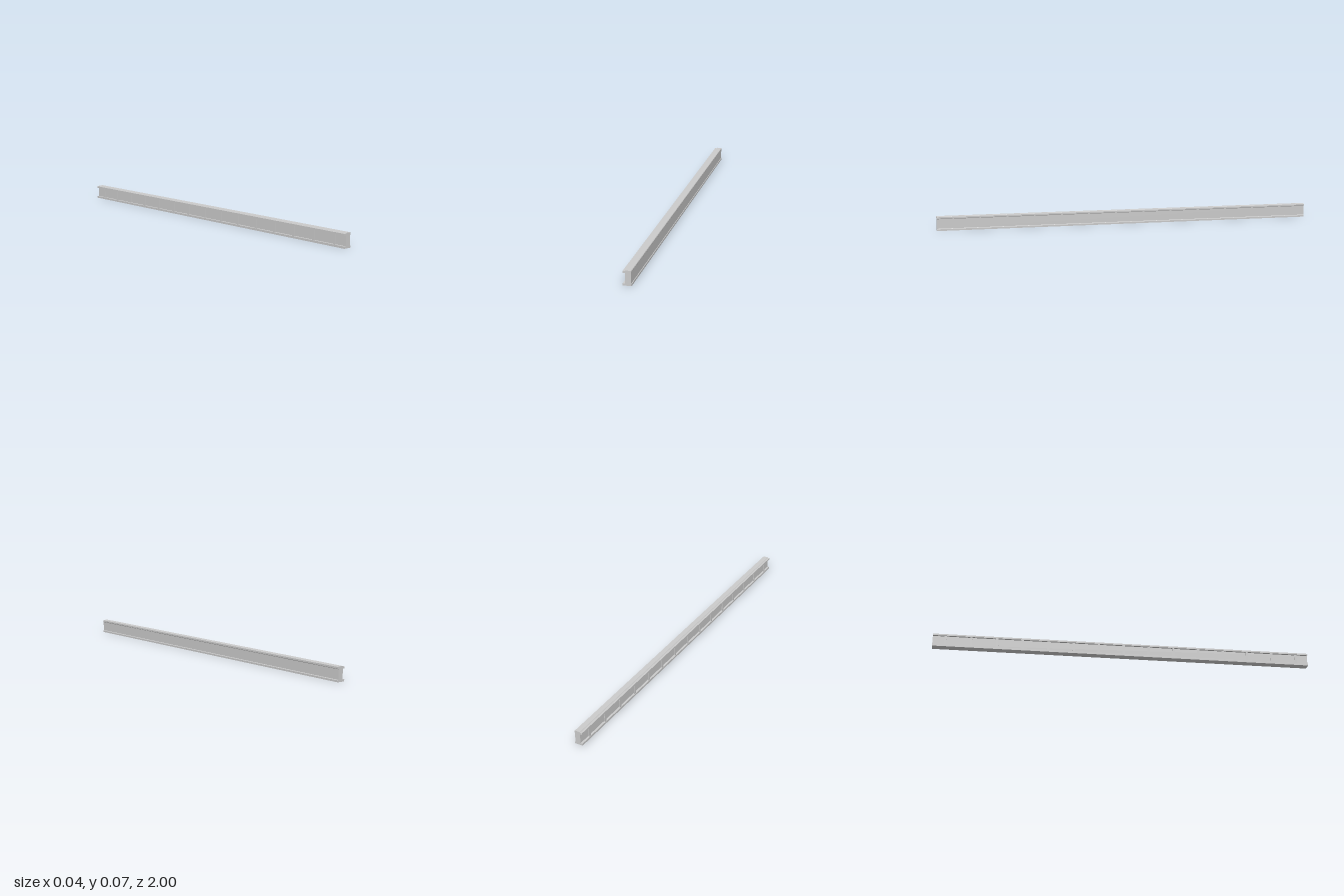
import * as THREE from 'three';

export function createModel() {
  const model = new THREE.Group();
  model.name = 'girder';
  const material = new THREE.MeshStandardMaterial({ color: 0xcccccc, flatShading: true });
  const length = 2;

  // Long beam: a thick web with ledges on -x and slim lips on +x
  const section = new THREE.Shape([
    [-0.0205, 0], [0.0205, 0], [0.0205, 0.009], [0.018, 0.0115],
    [0.018, 0.06], [0.0195, 0.0625], [0.0195, 0.0705], [0.0175, 0.073],
    [-0.008, 0.073], [-0.0105, 0.0695], [-0.0205, 0.0695], [-0.0205, 0.0605],
    [-0.01, 0.0605], [-0.01, 0.0105], [-0.0205, 0.0105],
  ].map(([x, y]) => new THREE.Vector2(x, y)));
  const beamGeometry = new THREE.ExtrudeGeometry(section, { depth: length, bevelEnabled: false });
  beamGeometry.translate(0, 0, -length / 2);
  const beam = new THREE.Mesh(beamGeometry, material);
  beam.name = 'beam';
  model.add(beam);

  // Evenly spaced uprights joining the two ledges, clear of the web
  const count = 15;
  const spacing = length / count;
  const postGeometry = new THREE.BoxGeometry(0.0035, 0.051, 0.013);
  const posts = new THREE.Group();
  posts.name = 'posts';
  for (let i = 0; i < count; i++) {
    const post = new THREE.Mesh(postGeometry, material);
    post.name = 'post';
    post.position.set(-0.0165, 0.0355, -length / 2 + (i + 0.5) * spacing);
    posts.add(post);
  }
  model.add(posts);

  return model;
}
